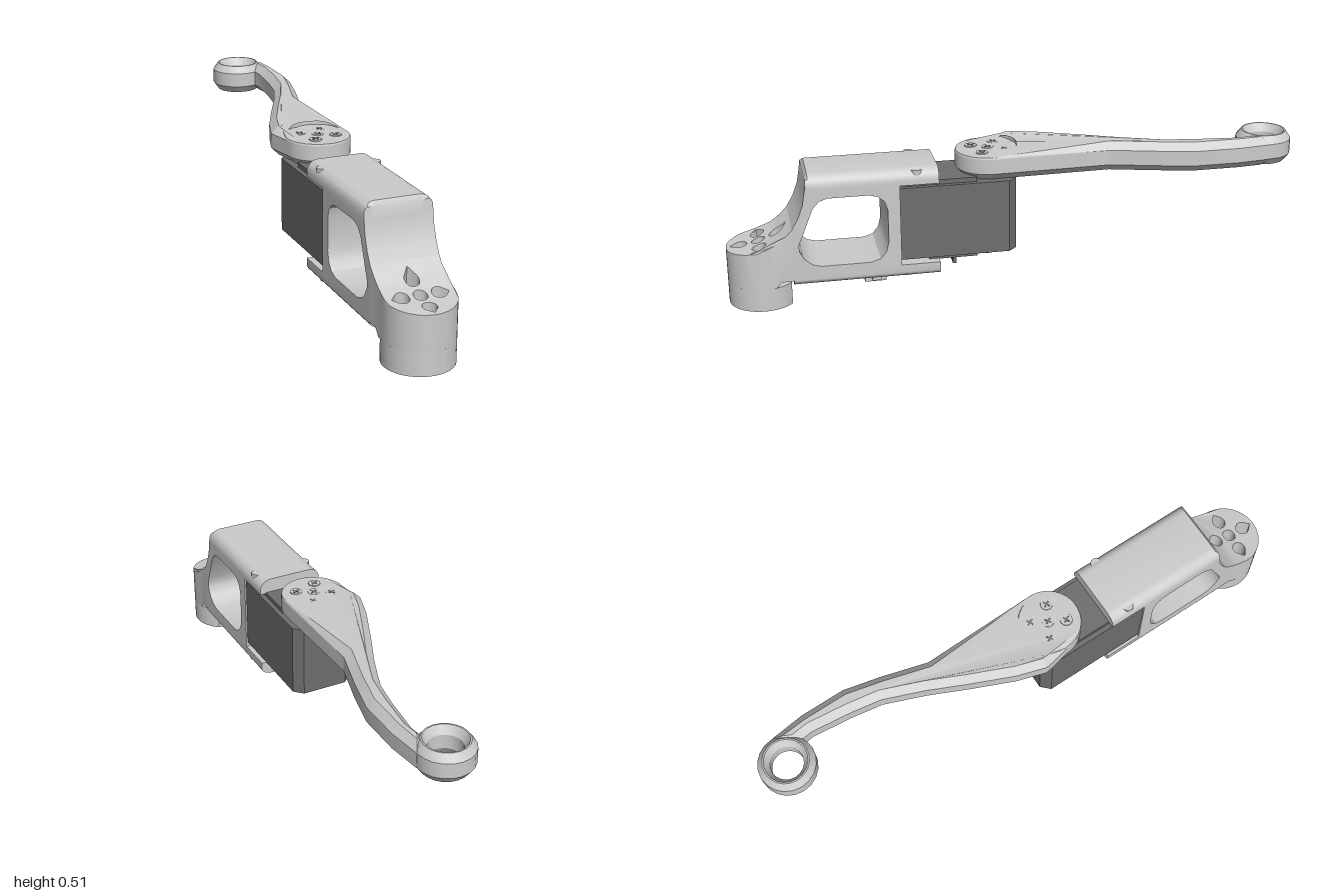
import * as THREE from 'three';
import { toCreasedNormals } from 'three/addons/utils/BufferGeometryUtils.js';

const CX = -0.023, HALF = 0.1175, FOOT_Z = 0.8825, HORN_Z = 0.085;
const grey = new THREE.MeshStandardMaterial({ color: 0xcccccc });
const dark = new THREE.MeshStandardMaterial({ color: 0x6c6e70 });

// Concave front slope as (z, y)
const scoop = [[0.718, 0.475], [0.728, 0.46], [0.732, 0.42], [0.74, 0.375], [0.757, 0.33],
  [0.78, 0.29], [0.81, 0.258], [0.84, 0.237], [0.9, 0.213], [1, 0.2]];

function scoopY(z) {
  const i = Math.max(1, scoop.findIndex((p) => p[0] >= z - 1e-6));
  const [a, b] = [scoop[i - 1], scoop[i]];
  return a[1] + (b[1] - a[1]) * (z - a[0]) / (b[0] - a[0]);
}

// Shape with a counter-clockwise outline, so that hole walls face the right way
function makeShape(outline, holes) {
  const vec = (list) => list.map((p) => new THREE.Vector2(...p));
  const points = vec(outline);
  if (THREE.ShapeUtils.isClockWise(points)) points.reverse();
  const shape = new THREE.Shape(points);
  shape.holes = holes.map((h) => new THREE.Path(vec(h)));
  return shape;
}

// Points on an arc in the ground plane, as (x, z)
function arc(x, z, r, from, to, n) {
  return Array.from({ length: n + 1 }, (_, i) => {
    const a = from + (to - from) * i / n;
    return [x + r * Math.cos(a), z + r * Math.sin(a)];
  });
}
const circle = (x, z, r, n = 20) => arc(x, z, r, 0, Math.PI * 2 * (n - 1) / n, n - 1);

// Extrudes an (x, z) outline upwards from y0 to y1, with an optional chamfer
function plan(points, y0, y1, holes = [], bevel = 0) {
  const flip = (list) => list.map(([x, z]) => [x, -z]);
  const geo = new THREE.ExtrudeGeometry(makeShape(flip(points), holes.map(flip)), {
    depth: y1 - y0 - 2 * bevel, bevelEnabled: bevel > 0, bevelSegments: 1,
    bevelSize: bevel, bevelThickness: bevel, bevelOffset: -bevel,
  });
  return geo.rotateX(-Math.PI / 2).translate(0, y0 + bevel, 0);
}

// Bracket body: side profile with window, top and bottom long edges rounded
function bodyGeometry() {
  const flip = (list) => list.map(([z, y]) => [-z, y]);
  const profile = [[0.78, 0.08], ...scoop.slice(0, 6).reverse(),
    [0.275, 0.475], [0.275, 0.42], [0.41, 0.42], [0.41, 0.13], [0.275, 0.13], [0.275, 0.08]];
  const hole = [[0.655, 0.395], [0.515, 0.395], [0.485, 0.387], [0.463, 0.368], [0.453, 0.335],
    [0.453, 0.22], [0.462, 0.185], [0.483, 0.16], [0.515, 0.15], [0.685, 0.15], [0.715, 0.158],
    [0.742, 0.18], [0.758, 0.21], [0.758, 0.235], [0.745, 0.265], [0.707, 0.36], [0.685, 0.385]];
  const steps = 13, r = 0.04;
  const geo = new THREE.ExtrudeGeometry(makeShape(flip(profile), [flip(hole)]),
    { depth: 1, steps, bevelEnabled: false }).rotateY(Math.PI / 2);
  const p = geo.attributes.position;
  for (let i = 0; i < p.count; i++) {
    const k = Math.round(p.getX(i) * steps), a = Math.min(k, steps - k) * Math.PI / 12;
    const inset = HALF - r * (1 - Math.cos(a)), drop = r * (1 - Math.sin(a));
    p.setX(i, CX + (k < steps / 2 ? -inset : inset));
    p.setY(i, Math.min(0.475 - drop, Math.max(0.08 + 0.6 * drop, p.getY(i))));
  }
  return geo;
}

// Foot top: teardrop screw pockets, upper face bent to follow the slope
function footGeometry() {
  const sides = [0, 0.2, 0.4, 0.6, 0.8].map((t) =>
    [HALF - 0.0015 * Math.sin(Math.PI * t), 0.78 + t * (FOOT_Z - 0.78)]);
  const outline = [...sides.map(([x, z]) => [CX + x, z]), ...arc(CX, FOOT_Z, HALF, 0, Math.PI, 24),
    ...sides.map(([x, z]) => [CX - x, z]).reverse()];
  const holes = [circle(CX, 0.89, 0.023)];
  for (let i = 0; i < 4; i++) {
    const a = i * Math.PI / 2, x = CX + 0.062 * Math.cos(a), z = 0.89 + 0.062 * Math.sin(a);
    holes.push([...arc(x, z, 0.024, a + 0.8, a + Math.PI * 2 - 0.8, 14),
      [x + 0.035 * Math.cos(a), z + 0.035 * Math.sin(a)]]);
  }
  const geo = plan(outline, 0.08, 0.2, holes), p = geo.attributes.position;
  for (let i = 0; i < p.count; i++) {
    const z = p.getZ(i), atSide = Math.abs(p.getX(i) - CX) > HALF - 0.01;
    if (p.getY(i) > 0.15) p.setY(i, scoopY(z));
    else if (atSide && z < 0.83) p.setY(i, 0.104);
  }
  return geo;
}

// Lever arm: chamfered outline, its head lowered around a round screw pocket
function armGeometry() {
  const geo = plan([
    ...arc(CX, HORN_Z, 0.114, -0.1, Math.PI, 18),
    [-0.152, 0.02], [-0.156, -0.01], [-0.125, -0.11], [-0.06, -0.26], [0, -0.39], [0.055, -0.53],
    [0.073, -0.64], [0.088, -0.78], [0.08, -0.845], [0.1, -0.885], [0.14, -0.9], [0.155, -0.78],
    [0.155, -0.62], [0.125, -0.49], [0.08, -0.33],
  ], 0.41, 0.515, [circle(CX, HORN_Z, 0.075, 28)], 0.026);
  const p = geo.attributes.position;
  for (let i = 0; i < p.count; i++) {
    const y = p.getY(i), dx = p.getX(i) - CX, dz = p.getZ(i) - HORN_Z, r = Math.hypot(dx, dz);
    const top = y > 0.51, bottom = y < 0.415;
    let target = r;
    if (top && r < 0.096) target = 0.112;
    else if (bottom && Math.abs(r - 0.101) < 0.004) target = 0.05;
    else if (!top && !bottom && r < 0.08) target = 0.1;
    p.setX(i, CX + dx * target / r);
    p.setZ(i, HORN_Z + dz * target / r);
    if (top) p.setY(i, 0.515 - 0.02 * THREE.MathUtils.clamp(p.getZ(i) / 0.06, 0, 1));
  }
  return geo;
}

export function createModel() {
  const model = new THREE.Group();
  const add = (name, geo, mat = grey, crease = 0.5) => {
    const mesh = new THREE.Mesh(toCreasedNormals(geo, crease), mat);
    mesh.name = name;
    model.add(mesh);
  };
  const box = (name, x, y, z, w, h, d, mat) =>
    add(name, new THREE.BoxGeometry(w, h, d).translate(x, y, z), mat);
  const cyl = (name, x, y0, y1, z, r, mat, n = 20, r0 = r) =>
    add(name, new THREE.CylinderGeometry(r, r0, y1 - y0, n).translate(x, (y0 + y1) / 2, z), mat);

  // Bracket
  add('bracketBody', bodyGeometry());
  add('bracketFoot', footGeometry());
  const footOutline = arc(CX, FOOT_Z, HALF, -0.95, Math.PI + 0.95, 36);
  const screwSpots = [[0, 0], [1, 0], [-1, 0], [0, 1], [0, -1]];
  add('footBase', plan(footOutline, 0.012, 0.08,
    screwSpots.map(([x, z]) => circle(CX + 0.062 * x, 0.89 + 0.062 * z, 0.016, 14))));
  add('footRim', plan(footOutline, 0, 0.012, [circle(CX, 0.89, 0.092, 36)]));

  // Bracket screws and cable clip
  for (const x of [-0.118, 0.072]) {
    cyl('topScrew', x, 0.43, 0.47, 0.35, 0.019);
    cyl('bottomScrew', x, 0.088, 0.12, 0.385, 0.018);
  }
  box('cableClip', CX, 0.06, 0.492, 0.05, 0.045, 0.075);
  box('cableClipBar', CX, 0.07, 0.492, 0.12, 0.03, 0.03);

  // Servo motor
  const l = -0.135, r = 0.089;
  add('servoCase', plan([[l, 0.41], [l, 0.03], [l + 0.03, 0], [r - 0.03, 0], [r, 0.03], [r, 0.41]],
    0.147, 0.408), dark, 0.3);
  box('servoTopPlate', CX, 0.414, 0.27, 0.19, 0.02, 0.26, dark);
  box('servoBottomPlate', CX, 0.138, 0.225, 0.17, 0.02, 0.17, dark);
  cyl('servoShaft', CX, 0.4, 0.42, HORN_Z, 0.08, dark, 28);
  cyl('servoPivot', CX, 0.108, 0.15, 0.09, 0.025, dark);
  for (const side of [-1, 1]) {
    for (let i = -1; i <= 1; i++) {
      box('connectorPin', CX + side * 0.05 + i * 0.017, 0.12, 0.218, 0.008, 0.04, 0.012, dark);
    }
  }

  // Lever arm and the floor of its screw pocket
  add('leverArm', armGeometry(), grey, 0.25);
  cyl('pocketFloor', CX, 0.412, 0.475, HORN_Z, 0.101, grey, 28, 0.06);

  // Horn screws with cross slots
  for (let i = 0; i < 5; i++) {
    const a = i * Math.PI / 2 + 0.5, d = i < 4 ? 0.062 : 0;
    const x = CX + d * Math.cos(a), z = HORN_Z + d * Math.sin(a);
    cyl('hornScrew', x, 0.47, 0.5, z, 0.021, grey, 16, 0.025);
    for (const turn of [0, Math.PI / 2]) {
      add('screwSlot', new THREE.BoxGeometry(0.026, 0.002, 0.006).rotateY(a + turn)
        .translate(x, 0.5, z), dark);
    }
  }

  // Ring at the arm's far end
  const ring = [[0.056, 0.438], [0.073, 0.41], [0.078, 0.41], [0.097, 0.436], [0.097, 0.489],
    [0.078, 0.515], [0.073, 0.515], [0.056, 0.487], [0.056, 0.438]].map((p) => new THREE.Vector2(...p));
  add('armRing', new THREE.LatheGeometry(ring, 20).translate(0.042, 0, -0.903), grey, 0.35);

  return model;
}
